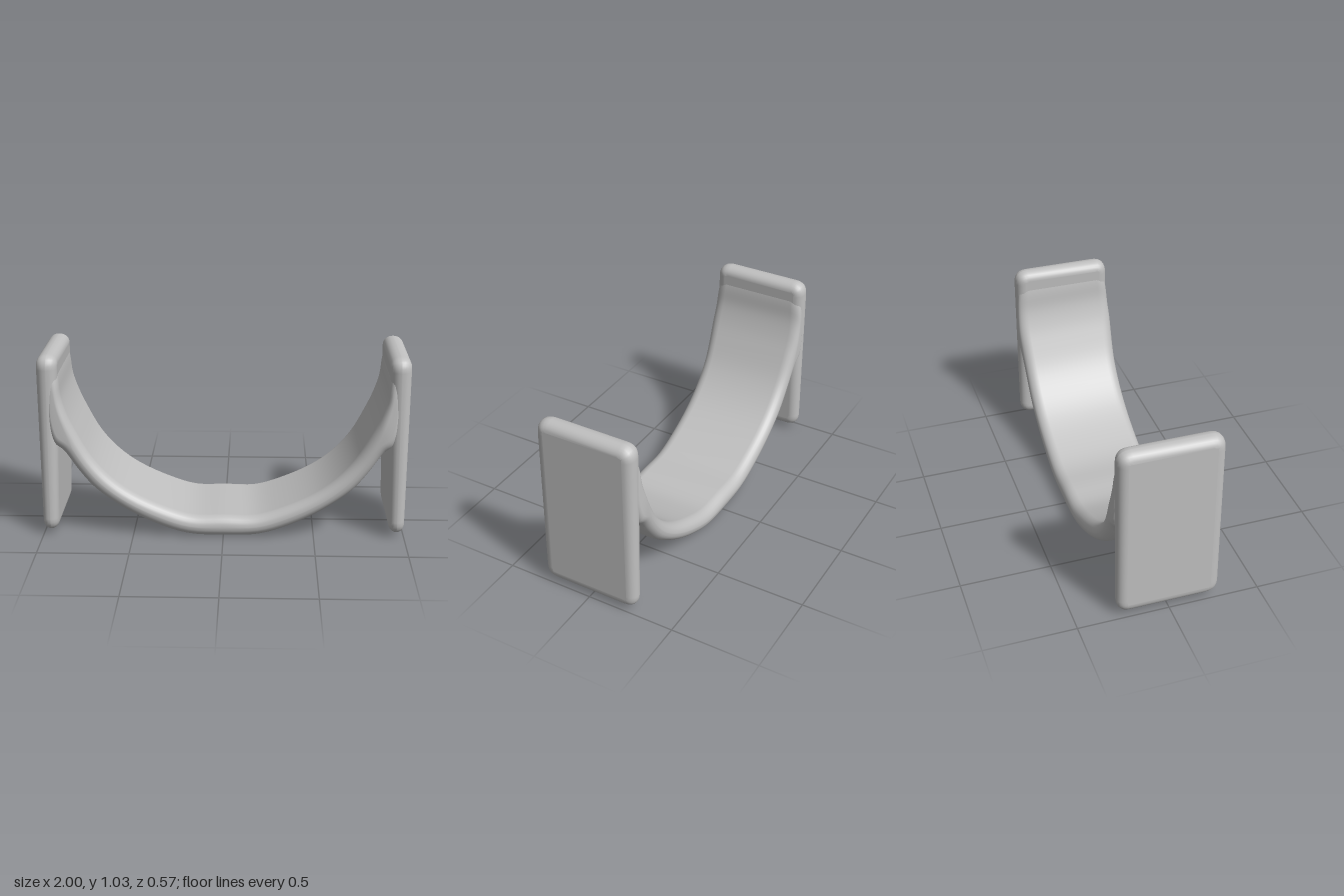
import * as THREE from 'three';
import { mergeVertices } from 'three/addons/utils/BufferGeometryUtils.js';

// Weld vertices and give area-weighted smooth normals
function smooth(geometry) {
  geometry.deleteAttribute('uv');
  geometry.deleteAttribute('normal');
  const welded = mergeVertices(geometry, 1e-4);
  welded.computeVertexNormals();
  return welded;
}

// Upright end plate: rounded rectangle with a soft rim, thicker towards the top
function plateGeometry(side) {
  const bevel = 0.05, hw = 0.28, y0 = 0.025, y1 = 1.03, r = 0.075;
  const s = new THREE.Shape();
  s.moveTo(-hw + r, y0);
  s.lineTo(hw - r, y0);
  s.quadraticCurveTo(hw, y0, hw, y0 + r);
  s.lineTo(hw, y1 - r);
  s.quadraticCurveTo(hw, y1, hw - r, y1);
  s.lineTo(-hw + r, y1);
  s.quadraticCurveTo(-hw, y1, -hw, y1 - r);
  s.lineTo(-hw, y0 + r);
  s.quadraticCurveTo(-hw, y0, -hw + r, y0);
  const g = new THREE.ExtrudeGeometry(s, {
    depth: 0.004, bevelEnabled: true, bevelThickness: 0.048, bevelSize: bevel,
    bevelOffset: -bevel, bevelSegments: 6, curveSegments: 6,
  });
  g.translate(0, 0, -0.002);
  g.rotateY(side * Math.PI / 2);
  g.translate(side * 0.95, 0, 0);
  const p = g.attributes.position;
  for (let i = 0; i < p.count; i++) {
    const t = (p.getY(i) - y0) / (y1 - y0);
    p.setX(i, side * (1 - (1 - side * p.getX(i)) * (0.85 + 0.3 * t)));
  }
  return smooth(g);
}

// Half profile of the sling: lower x, lower y, upper x, upper y, half width
const half = [
  [0, 0, 0, 0.12, 0.28], [0.2, 0.01, 0.17, 0.12, 0.28], [0.38, 0.07, 0.32, 0.165, 0.28],
  [0.55, 0.16, 0.5, 0.25, 0.28], [0.71, 0.28, 0.62, 0.34, 0.28], [0.8, 0.39, 0.72, 0.455, 0.28],
  [0.87, 0.495, 0.8, 0.6, 0.285], [0.92, 0.54, 0.845, 0.7, 0.287], [0.95, 0.65, 0.875, 0.8, 0.282],
  [0.955, 0.8, 0.885, 0.9, 0.275], [0.96, 0.93, 0.9, 0.98, 0.26],
];

// Curved sling: rounded cross-sections lofted between the two profile curves
function slingGeometry() {
  const rows = [...half.slice(1).reverse().map(([a, b, c, d, w]) => [-a, b, -c, d, w]), ...half];
  const curve = (fn) => new THREE.CatmullRomCurve3(rows.map(fn), false, 'centripetal');
  const lower = curve(([a, b, , , w]) => new THREE.Vector3(a, b, w));
  const upper = curve(([, , c, d, w]) => new THREE.Vector3(c, d, w));
  const steps = 80, arc = 6, ring = 4 * (arc + 1);
  const pos = [], index = [];
  for (let i = 0; i <= steps; i++) {
    const lo = lower.getPoint(i / steps), up = upper.getPoint(i / steps);
    const mid = lo.clone().add(up).multiplyScalar(0.5);
    const dir = up.clone().sub(lo).setZ(0);
    const h = dir.length() / 2;
    dir.normalize();
    const rv = Math.min(h * 0.95, 0.055), rz = 0.06;
    for (let q = 0; q < 4; q++) {
      const sz = q === 0 || q === 3 ? 1 : -1, sv = q < 2 ? 1 : -1;
      for (let k = 0; k <= arc; k++) {
        const a = (q + k / arc) * Math.PI / 2;
        const v = sv * (h - rv) + Math.sin(a) * rv;
        const z = sz * (mid.z - rz) + Math.cos(a) * rz;
        pos.push(mid.x + dir.x * v, mid.y + dir.y * v, z);
      }
    }
  }
  for (let i = 0; i < steps; i++) {
    for (let j = 0; j < ring; j++) {
      const a = i * ring + j, b = i * ring + (j + 1) % ring;
      index.push(a, a + ring, b, b, a + ring, b + ring);
    }
  }
  const g = new THREE.BufferGeometry();
  g.setAttribute('position', new THREE.Float32BufferAttribute(pos, 3));
  g.setIndex(index);
  g.computeVertexNormals();
  return g;
}

export function createModel() {
  const group = new THREE.Group();
  group.name = 'slingBench';
  const grey = new THREE.MeshStandardMaterial({ color: 0xc0c0c0 });
  grey.name = 'plainGrey';
  const add = (geometry, name) => {
    const mesh = new THREE.Mesh(geometry, grey);
    mesh.name = name;
    group.add(mesh);
  };
  add(plateGeometry(1), 'leftEndPlate');
  add(plateGeometry(-1), 'rightEndPlate');
  add(slingGeometry(), 'curvedSling');
  return group;
}
